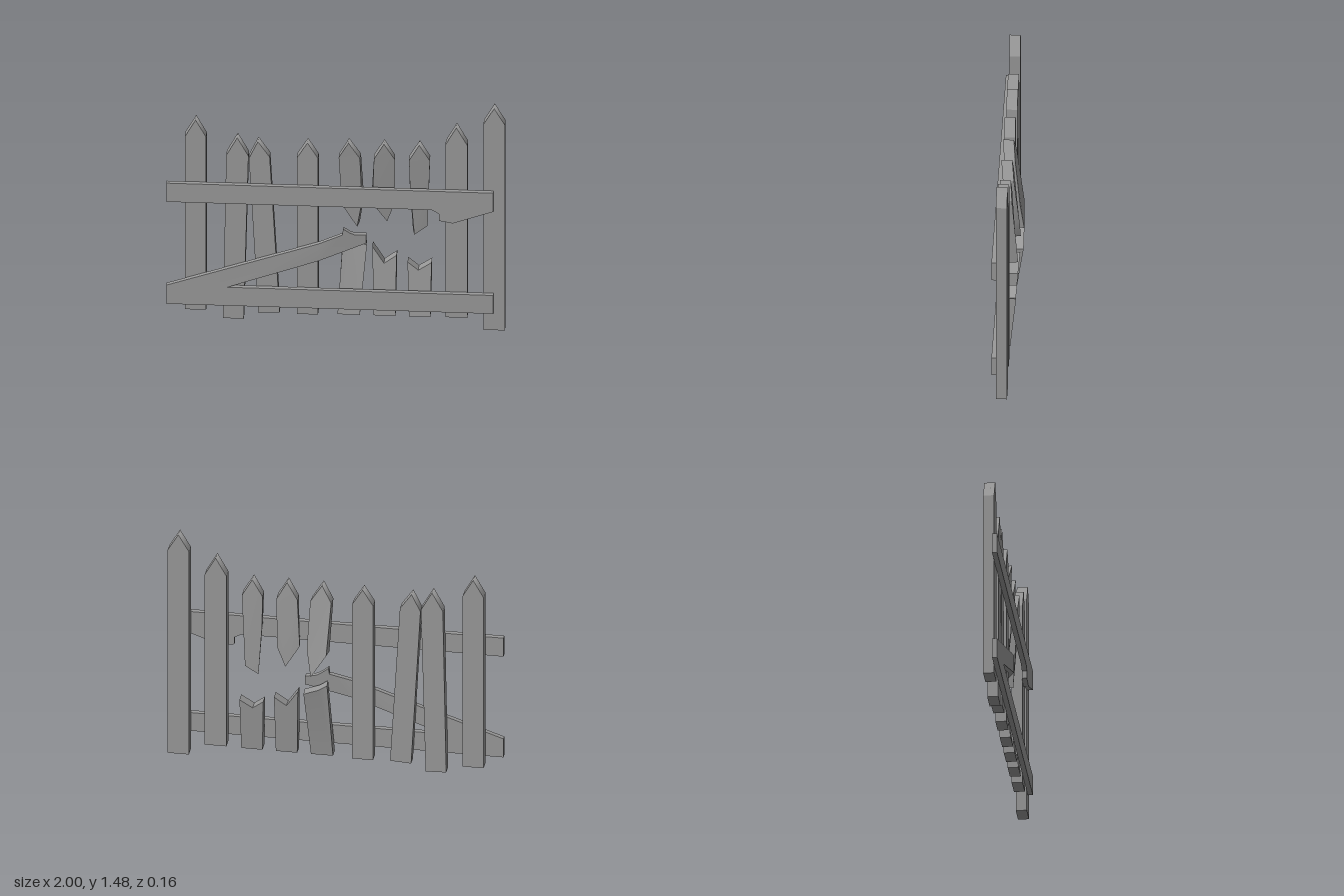
import * as THREE from 'three';
import { toCreasedNormals } from 'three/addons/utils/BufferGeometryUtils.js';

const BACK = -0.01, FRONT = 0.055, RAIL_FRONT = 0.085;
const material = new THREE.MeshStandardMaterial({ color: 0x9a9a9a });

// Board cut from one or more outlines, optionally deformed by a rule on each vertex
function board(name, outlines, z0, z1, deform) {
  const shapes = outlines.map((pts) => new THREE.Shape(pts.map(([x, y]) => new THREE.Vector2(x, y))));
  let geo = new THREE.ExtrudeGeometry(shapes, { depth: z1 - z0, bevelEnabled: false });
  geo.translate(0, 0, z0);
  if (deform) {
    const p = geo.attributes.position;
    const v = new THREE.Vector3();
    for (let i = 0; i < p.count; i++) {
      v.fromBufferAttribute(p, i);
      deform(v);
      p.setXYZ(i, v.x, v.y, v.z);
    }
  }
  geo = toCreasedNormals(geo, 0.42);
  const mesh = new THREE.Mesh(geo, material);
  mesh.name = name;
  return mesh;
}

// Picket whose two pointed slopes are shaded as one rounded tip
function picket(name, outline, deform) {
  const mesh = board(name, [outline], BACK, FRONT, deform);
  const { position: p, normal: n } = mesh.geometry.attributes;
  const tipY = Math.max(...outline.map(([, y]) => y));
  for (let i = 0; i < p.count; i++)
    if (p.getY(i) > tipY - 0.001 && Math.abs(n.getZ(i)) < 0.5) n.setXYZ(i, 0, 1, 0);
  return mesh;
}

// Leans a broken piece backwards away from its hinge height, with a slight twist
const lean = (hingeY, slope, twist, cx) => (v) => {
  const d = Math.abs(v.y - hingeY);
  const a = twist * d;
  const dx = v.x - cx, dz = v.z - FRONT;
  v.x = cx + dx - a * dz;
  v.z += a * dx - slope * d;
};

export function createModel() {
  const fence = new THREE.Group();
  fence.name = 'brokenFence';

  // Upright pickets: left, right, bottom, shoulder, tip
  const upright = [
    ['picket', -0.892, -0.767, 0.077, 1.233, 1.345],
    ['picket', -0.23, -0.105, 0.068, 1.113, 1.215],
    ['picket', 0.648, 0.778, 0.077, 1.23, 1.347],
    ['endPost', 0.873, 1.0, 0, 1.375, 1.483],
  ];
  for (const [name, l, r, b, s, t] of upright)
    fence.add(picket(name, [[l, b], [r, b], [r, s], [(l + r) / 2, t], [l, s]]));

  // Two crooked pickets leaning into each other
  fence.add(picket('crookedPicket',
    [[-0.668, 0.027], [-0.545, 0.022], [-0.517, 1.115], [-0.583, 1.235], [-0.648, 1.115]]));
  fence.add(picket('crookedPicket',
    [[-0.458, 0.067], [-0.332, 0.075], [-0.391, 1.112], [-0.461, 1.213], [-0.514, 1.1]]));

  // Upper halves of the snapped pickets, pushed back at their lower ends
  const upper = [
    [[[0.122, 0.63], [0.152, 0.81], [0.142, 1.115], [0.075, 1.222], [0.016, 1.115], [0.032, 0.78]], 0.12, 0.3, 0.08],
    [[[0.3, 0.68], [0.348, 0.81], [0.348, 1.115], [0.285, 1.222], [0.225, 1.115], [0.215, 0.81]], 0.085, -0.38, 0.28],
    [[[0.462, 0.605], [0.54, 0.66], [0.556, 1.115], [0.493, 1.222], [0.433, 1.115], [0.438, 0.92]], 0.065, -0.3, 0.49],
  ];
  for (const [pts, slope, twist, cx] of upper)
    fence.add(picket('snappedPicketTop', pts, lean(1.222, slope, twist, cx)));

  // Lower stumps with splintered tops
  const lower = [
    [[[0.01, 0.075], [0.142, 0.075], [0.18, 0.51], [0.13, 0.53], [0.09, 0.545], [0.04, 0.58]], 0.13, -0.15, 0.1],
    [[[0.224, 0.075], [0.352, 0.075], [0.357, 0.46], [0.283, 0.407], [0.213, 0.513]], 0.1, 0, 0.29],
    [[[0.432, 0.075], [0.559, 0.075], [0.564, 0.42], [0.486, 0.37], [0.422, 0.42]], 0.1, 0, 0.49],
  ];
  for (const [pts, slope, twist, cx] of lower)
    fence.add(board('snappedPicketStump', [pts], BACK, FRONT, lean(0.075, slope, twist, cx)));

  // Upper rail with the torn remainder of the brace
  fence.add(board('upperRail', [[
    [-1, 0.808], [0.568, 0.808], [0.612, 0.783], [0.612, 0.737], [0.693, 0.722],
    [0.933, 0.808], [0.933, 0.933], [-1, 0.933],
  ]], FRONT, RAIL_FRONT));

  // Lower rail joined to the diagonal brace, whose splintered end bends backwards
  fence.add(board('lowerRailAndBrace', [
    [[-1, 0.125], [0.933, 0.125], [0.933, 0.248], [-0.64, 0.248],
      [-0.1, 0.443], [-0.1, 0.557], [-1, 0.25]],
    [[-0.1, 0.443], [0.178, 0.54], [0.178, 0.595], [0.113, 0.6], [0.083, 0.615],
      [0.043, 0.645], [0.038, 0.605], [-0.1, 0.557]],
  ], FRONT, RAIL_FRONT, (v) => {
    if (v.y > 0.4) v.z -= 0.21 * Math.max(0, v.x + 0.1);
  }));

  return fence;
}
